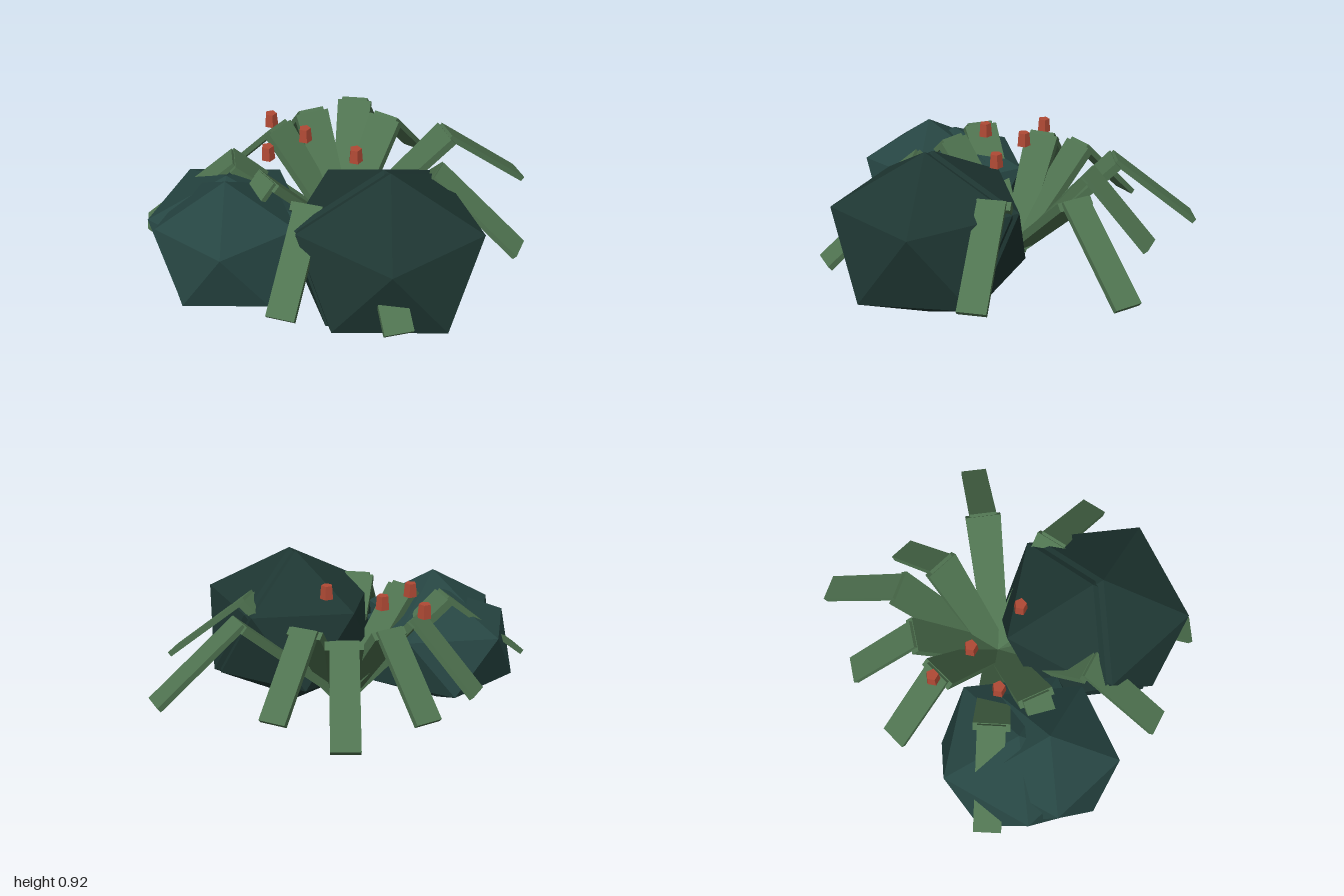
import * as THREE from 'three';

const mat = (color) => new THREE.MeshStandardMaterial({ color, flatShading: true });
const leafMat = mat(0x4f7350);
const darkRock = mat(0x1e3632);
const lightRock = mat(0x264542);
const budMat = mat(0xb04a35);

// Box running from [radius, height] a to b; the start width may differ from the end width
function blade(name, a, b, startWidth, endWidth, thickness) {
  const dr = b[0] - a[0], dy = b[1] - a[1];
  const len = Math.hypot(dr, dy);
  const geo = new THREE.BoxGeometry(1, thickness, len);
  const p = geo.attributes.position;
  for (let i = 0; i < p.count; i++) {
    p.setX(i, p.getX(i) * (p.getZ(i) < 0 ? startWidth : endWidth));
  }
  geo.rotateX(-Math.atan2(dy, dr));
  geo.translate(0, (a[1] + b[1]) / 2, (a[0] + b[0]) / 2);
  geo.computeVertexNormals();
  const mesh = new THREE.Mesh(geo, leafMat);
  mesh.name = name;
  return mesh;
}

// Leaf that rises to a knee and folds down to its tip; angle in degrees from the back towards +x
function leaf(angle, knee, reach) {
  const g = new THREE.Group();
  g.name = 'leaf';
  g.add(blade('innerLeaf', [0, 0.21], [knee, 0.735], 0.13, 0.19, 0.045));
  g.add(blade('outerLeaf', [knee - 0.01, 0.75], [reach - 0.01, 0.383], 0.145, 0.145, 0.03));
  g.rotation.y = Math.PI - THREE.MathUtils.degToRad(angle);
  return g;
}

// Icosahedron standing on a vertex, given its ring radius and half height
function boulder(name, x, y, z, ring, half, material) {
  const geo = new THREE.IcosahedronGeometry(1, 0);
  geo.rotateZ(-Math.atan(2 / (1 + Math.sqrt(5))));
  const s = ring / 0.8944;
  geo.scale(s, half, s);
  geo.computeVertexNormals();
  const mesh = new THREE.Mesh(geo, material);
  mesh.name = name;
  mesh.position.set(x, y, z);
  return mesh;
}

export function createModel() {
  const model = new THREE.Group();
  model.name = 'rockPlant';

  // Leaves: angle, knee radius, tip radius
  const leaves = [
    [-11, 0.55, 1.0], [16, 0.43, 0.78], [53, 0.6, 1.07], [94.6, 0.54, 1.0], [147, 0.59, 1.07],
    [179, 0.54, 0.98], [216, 0.47, 0.85], [243.5, 0.58, 1.05], [286, 0.43, 0.78], [318.5, 0.45, 0.81],
  ];
  for (const l of leaves) model.add(leaf(...l));

  // Boulders: two overlapping pairs
  model.add(boulder('largeBoulder', 0.38, 0.47, 0.4, 0.48, 0.46, darkRock));
  model.add(boulder('largeBoulderTwin', 0.335, 0.465, 0.365, 0.475, 0.456, darkRock));
  model.add(boulder('smallBoulder', -0.43, 0.42, 0.54, 0.37, 0.38, lightRock));
  model.add(boulder('lowBoulder', -0.49, 0.4, 0.4, 0.42, 0.335, lightRock));

  // Five-sided buds
  for (const [x, z] of [[-0.45, -0.12], [-0.22, -0.03], [0.1, 0.08], [-0.34, 0.2]]) {
    const bud = new THREE.Mesh(new THREE.CylinderGeometry(0.032, 0.038, 0.075, 5), budMat);
    bud.name = 'bud';
    bud.position.set(x, 0.787, z);
    bud.rotation.y = Math.PI;
    model.add(bud);
  }

  // Stand the model on the ground
  model.position.y = -new THREE.Box3().setFromObject(model).min.y;
  return model;
}
